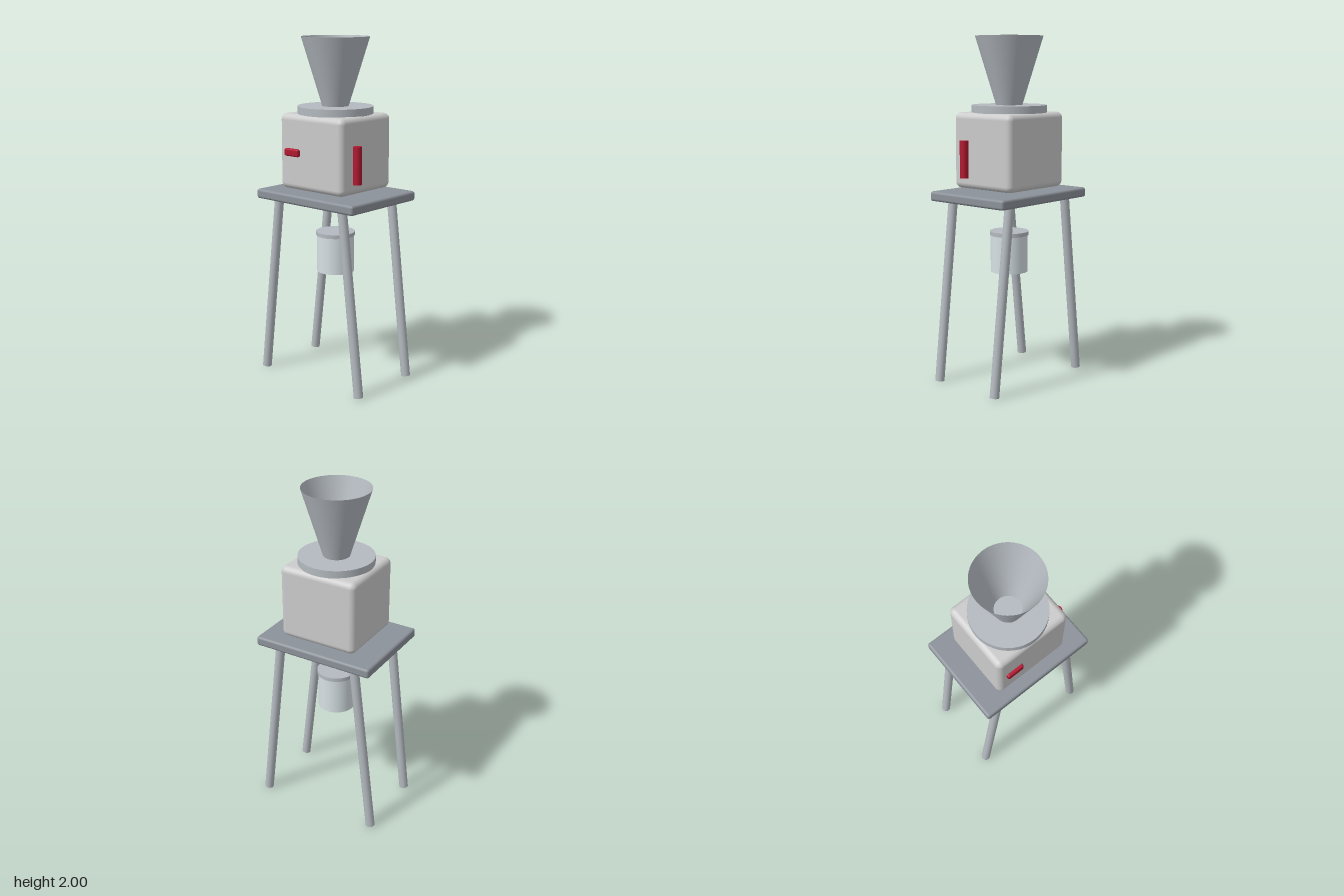
import * as THREE from 'three';
import { RoundedBoxGeometry } from 'three/addons/geometries/RoundedBoxGeometry.js';

const material = (color, side = THREE.FrontSide) => new THREE.MeshStandardMaterial({ color, side });

export function createModel() {
  const model = new THREE.Group();
  const steel = material(0xb4bac0);
  const slate = material(0x8c929a);
  const shell = material(0xcccccc);
  const red = material(0xb01830);
  const glass = material(0xd6e0e4);

  function add(name, geometry, mat, x, y, z) {
    const mesh = new THREE.Mesh(geometry, mat);
    mesh.name = name;
    mesh.position.set(x, y, z);
    model.add(mesh);
    return mesh;
  }
  // Upright cylinder between two heights
  const post = (name, r, y0, y1, mat, x = 0, z = -0.002) =>
    add(name, new THREE.CylinderGeometry(r, r, y1 - y0, 48), mat, x, (y0 + y1) / 2, z);

  // Table top and four legs splayed sideways
  add('tableTop', new RoundedBoxGeometry(0.738, 0.056, 0.564, 4, 0.015), slate, 0, 1.092, -0.002);
  for (const sx of [-1, 1]) {
    for (const z of [-0.22, 0.216]) {
      const foot = new THREE.Vector3(sx * 0.368, 0.004, z);
      const head = new THREE.Vector3(sx * 0.242, 1.075, z);
      const axis = head.clone().sub(foot);
      const mid = foot.clone().add(head).multiplyScalar(0.5);
      const leg = add(sx > 0 ? 'leftLeg' : 'rightLeg',
        new THREE.CylinderGeometry(0.027, 0.027, axis.length(), 32), steel, mid.x, mid.y, mid.z);
      leg.quaternion.setFromUnitVectors(new THREE.Vector3(0, 1, 0), axis.normalize());
    }
  }

  // Machine housing with its collar
  add('housing', new RoundedBoxGeometry(0.476, 0.434, 0.434, 6, 0.035), shell, 0, 1.352, -0.002);
  post('collar', 0.217, 1.567, 1.61, steel);

  // Open feed funnel
  add('funnel', new THREE.CylinderGeometry(0.195, 0.076, 0.39, 64, 1, true),
    material(0xb4bac0, THREE.DoubleSide), 0, 1.805, -0.002);

  // Front switch and side handle
  add('frontSwitch', new RoundedBoxGeometry(0.108, 0.044, 0.044, 4, 0.01), red, -0.131, 1.352, 0.212);
  post('sideHandle', 0.025, 1.2, 1.413, red, 0.26, 0.108);

  // Collecting jar below the table
  post('jar', 0.109, 0.635, 0.852, glass);
  post('jarLid', 0.114, 0.852, 0.875, steel);

  return model;
}
